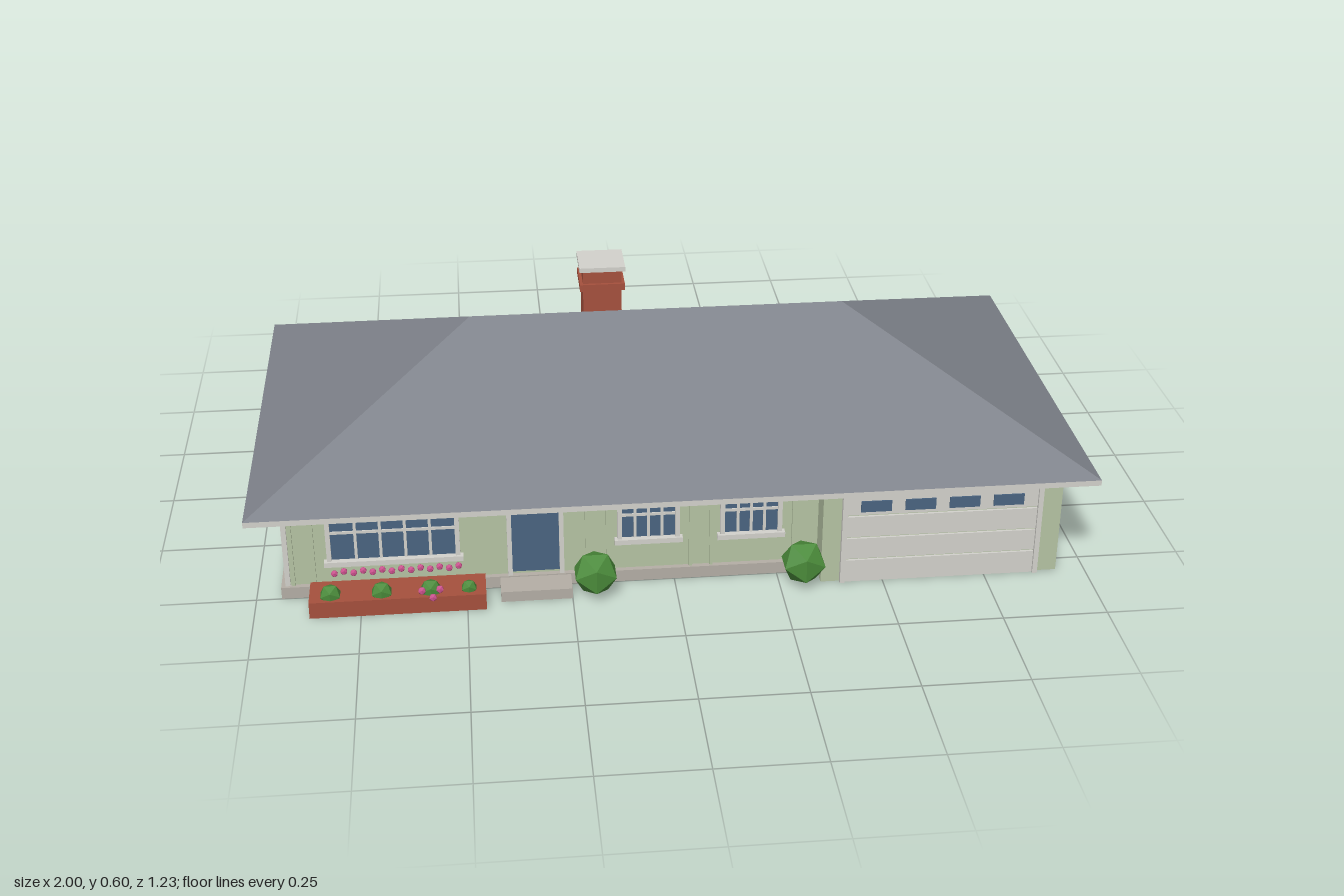
import * as THREE from 'three';

const mat = (name, color) => Object.assign(new THREE.MeshStandardMaterial({ color }), { name });

export function createModel() {
  const house = new THREE.Group();
  house.name = 'house';
  const siding = mat('sage siding', 0xb5c3a3);
  const trim = mat('pale trim', 0xd2d1cb);
  const concrete = mat('concrete', 0xb4aea5);
  const glass = mat('blue glass', 0x4a6480);
  const roofing = mat('slate roof', 0x7c8088);
  const brick = mat('red brick', 0xa5503d);
  const leaf = mat('green leaves', 0x4a8a3a);
  const petal = mat('pink petals', 0xc9508c);
  leaf.flatShading = true;
  petal.flatShading = true;

  // Box given by its limits on each axis
  const box = (parent, name, m, x0, x1, y0, y1, z0, z1) => {
    const mesh = new THREE.Mesh(new THREE.BoxGeometry(x1 - x0, y1 - y0, z1 - z0), m);
    mesh.position.set((x0 + x1) / 2, (y0 + y1) / 2, (z0 + z1) / 2);
    mesh.name = name;
    parent.add(mesh);
    return mesh;
  };

  // Group whose local +z looks out of a wall
  const onWall = (name, x, y, z, turn) => {
    const g = new THREE.Group();
    g.name = name;
    g.position.set(x, y, z);
    g.rotation.y = turn;
    house.add(g);
    return g;
  };

  // Border, glass and glazing bars; w and h include the border
  const glazed = (name, x, y, z, turn, w, h, cols, rows, sill = true) => {
    const g = onWall(name, x, y, z, turn);
    const b = 0.011, a = w / 2, t = 0.0035;
    box(g, 'pane', glass, -a + b, a - b, b, h - b, 0, 0.005);
    for (const s of [-1, 1]) {
      box(g, 'sideTrim', trim, s * (a - b / 2) - b / 2, s * (a - b / 2) + b / 2, 0, h, 0, 0.011);
    }
    box(g, 'headTrim', trim, -a - 0.005, a + 0.005, h - b, h, 0, 0.013);
    if (sill) box(g, 'sill', trim, -a - 0.007, a + 0.007, -0.004, b - 0.002, 0, 0.017);
    for (let i = 1; i < cols; i++) {
      const p = -a + b + (w - 2 * b) * i / cols;
      box(g, 'uprightBar', trim, p - t, p + t, b, h - b, 0, 0.008);
    }
    for (let i = 1; i < rows; i++) {
      const p = b + (h - 2 * b) * i / rows;
      box(g, 'crossBar', trim, -a + b, a - b, p - t, p + t, 0, 0.008);
    }
    return g;
  };

  // Ground works
  box(house, 'foundation', concrete, -0.94, 0.94, 0, 0.03, -0.396, 0.5);
  box(house, 'patio', concrete, -0.235, 0.345, 0, 0.01, -0.62, -0.39);
  box(house, 'porchStep', concrete, -0.42, -0.25, 0, 0.027, 0.49, 0.565);

  // Walls
  const front = 0.487, back = -0.388, side = 0.93, garageFront = 0.55;
  box(house, 'mainWalls', siding, -side, side, 0.03, 0.27, back, front);
  box(house, 'garageBay', siding, 0.35, side, 0, 0.27, 0.4, garageFront);

  // Battens, left out where there are openings
  const battens = (from, to, z, openings) => {
    for (let x = from; x <= to; x += 0.05) {
      if (openings.some(([p, q]) => x > p - 0.012 && x < q + 0.012)) continue;
      box(house, 'batten', siding, x - 0.004, x + 0.004, 0.03, 0.267, z - 0.007, z + 0.007);
    }
  };
  battens(-0.91, 0.34, front, [[-0.83, -0.51], [-0.405, -0.265], [-0.14, 0.015], [0.105, 0.265]]);
  battens(-0.2, 0.92, back, [[0.6, 0.77], [0.365, 0.535], [-0.12, 0.2]]);

  // Corner boards
  for (const x of [-side, side - 0.012]) {
    box(house, 'backCornerBoard', trim, x, x + 0.012, 0.03, 0.267, back - 0.006, back);
  }
  box(house, 'frontCornerBoard', trim, -side, -side + 0.012, 0.03, 0.267, front, front + 0.006);

  // Front openings
  glazed('pictureWindow', -0.67, 0.086, front, 0, 0.315, 0.168, 5, 2);
  glazed('frontWindow', -0.062, 0.107, front, 0, 0.15, 0.145, 4, 2);
  glazed('frontWindow', 0.186, 0.107, front, 0, 0.15, 0.145, 4, 2);
  glazed('frontDoor', -0.333, 0.027, front, 0, 0.135, 0.233, 1, 1, false);

  // Right side
  const R = Math.PI / 2;
  glazed('rightWindow', side, 0.109, -0.094, R, 0.108, 0.103, 2, 2);
  glazed('sideDoor', side, 0.027, -0.27, R, 0.115, 0.232, 1, 1, false);

  // Left side
  for (const z of [-0.07, 0.245]) glazed('leftWindow', -side, 0.107, z, -R, 0.145, 0.145, 3, 2);

  // Back
  for (const x of [0.685, 0.45]) glazed('backWindow', x, 0.107, back, Math.PI, 0.16, 0.145, 4, 2);
  glazed('patioDoor', 0.04, 0.027, back, Math.PI, 0.315, 0.23, 4, 1, false);
  glazed('kitchenWindow', -0.36, 0.13, back, Math.PI, 0.2, 0.12, 4, 2);
  glazed('backWindow', -0.68, 0.107, back, Math.PI, 0.16, 0.145, 3, 2);

  // Garage door in four sections with a row of small windows
  const gd = onWall('garageDoor', 0.638, 0, garageFront, 0);
  const levels = [0, 0.064, 0.124, 0.184, 0.245];
  for (let i = 0; i < 4; i++) {
    box(gd, 'doorSection', trim, -0.232, 0.232, levels[i], levels[i + 1] - 0.005, 0, 0.006);
  }
  for (const s of [-1, 1]) {
    box(gd, 'doorJamb', trim, s * 0.237 - 0.006, s * 0.237 + 0.006, 0, 0.255, 0, 0.012);
  }
  box(gd, 'doorHead', trim, -0.243, 0.243, 0.243, 0.256, 0, 0.012);
  for (let i = 0; i < 4; i++) {
    const x = -0.162 + i * 0.107;
    box(gd, 'doorWindow', glass, x - 0.037, x + 0.037, 0.193, 0.222, 0.005, 0.009);
  }

  // Hip roof over a thin fascia
  box(house, 'fascia', trim, -1, 1, 0.266, 0.28, -0.456, 0.614);
  const A = [-1, 0.28, 0.614], B = [1, 0.28, 0.614], C = [1, 0.28, -0.456], D = [-1, 0.28, -0.456];
  const E = [-0.466, 0.527, 0.08], F = [0.466, 0.527, 0.08];
  const slopes = [A, B, F, A, F, E, B, C, F, C, D, E, C, E, F, D, A, E];
  const roofGeo = new THREE.BufferGeometry();
  roofGeo.setAttribute('position', new THREE.Float32BufferAttribute(slopes.flat(), 3));
  roofGeo.computeVertexNormals();
  const roof = new THREE.Mesh(roofGeo, roofing);
  roof.name = 'hipRoof';
  house.add(roof);

  // Chimney, as boxes stacked on one axis
  const stack = (name, m, r, y0, y1) =>
    box(house, name, m, -0.128 - r, -0.128 + r, y0, y1, -0.087 - r, -0.087 + r);
  stack('chimneyShaft', brick, 0.049, 0.38, 0.585);
  stack('chimneyBand', brick, 0.057, 0.532, 0.55);
  stack('chimneyCap', trim, 0.058, 0.584, 0.596);

  // Planting
  const blob = (name, m, x, y, z, r, detail = 0) => {
    const mesh = new THREE.Mesh(new THREE.IcosahedronGeometry(r, detail), m);
    mesh.position.set(x, y, z);
    mesh.name = name;
    house.add(mesh);
  };
  box(house, 'brickPlanter', brick, -0.87, -0.455, 0, 0.042, 0.5, 0.593);
  for (const x of [-0.195, 0.305]) blob('roundBush', leaf, x, 0.064, 0.558, 0.057);
  [-0.82, -0.7, -0.585, -0.495].forEach((x, i) => {
    blob('planterShrub', leaf, x, 0.046, 0.565, i === 3 ? 0.02 : 0.027);
  });
  for (let i = 0; i < 14; i++) {
    blob('flower', petal, -0.81 + i * 0.0225, 0.078 + 0.005 * (i % 2), 0.525, 0.009);
  }
  for (const [dx, y] of [[-0.02, 0.06], [0.005, 0.04], [0.022, 0.062]]) {
    blob('flower', petal, -0.585 + dx, y, 0.592, 0.01);
  }
  return house;
}
